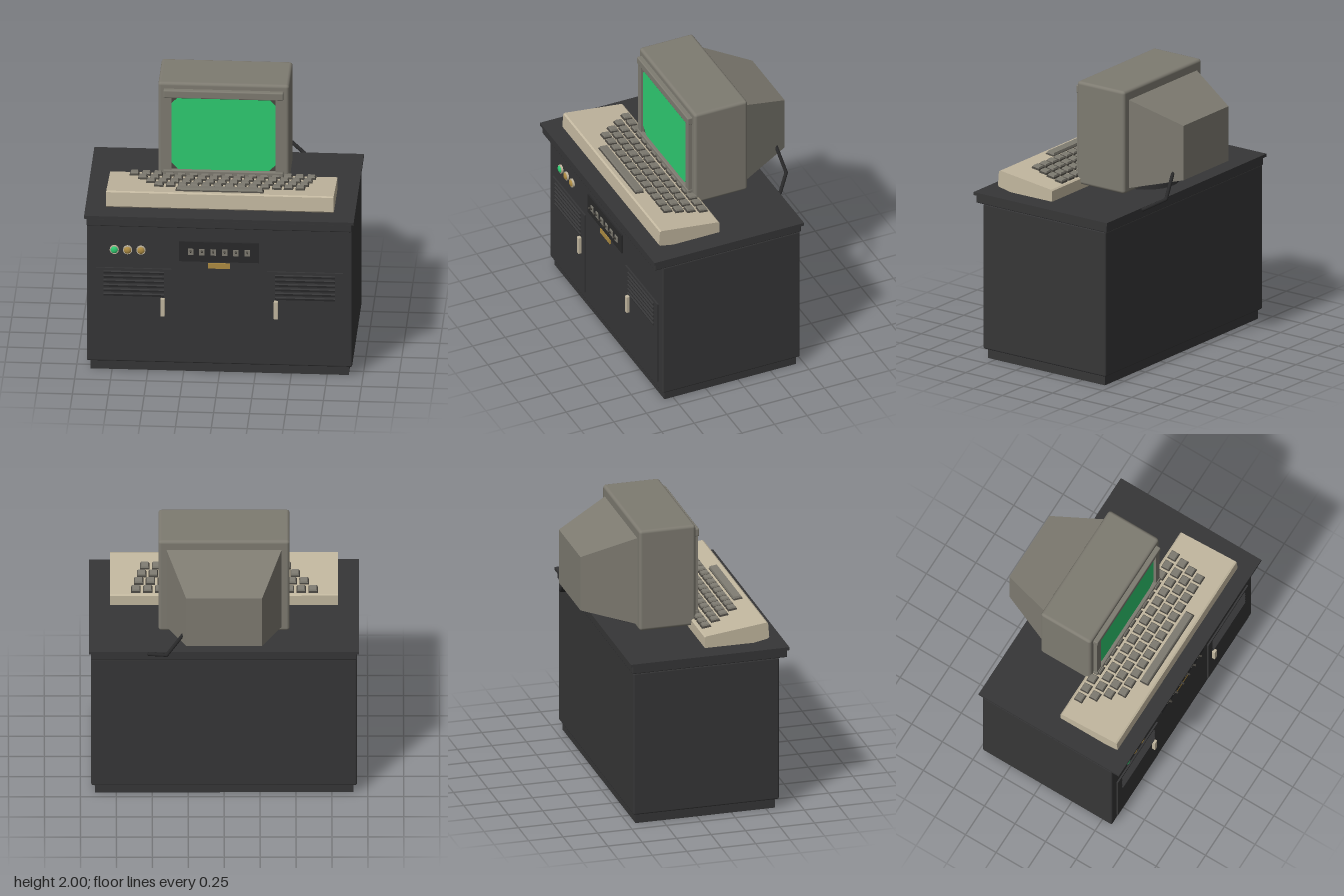
import * as THREE from 'three';
import { RoundedBoxGeometry } from 'three/addons/geometries/RoundedBoxGeometry.js';

const mat = (name, color) => Object.assign(new THREE.MeshStandardMaterial({ color }), { name });

export function createModel() {
  const model = new THREE.Group();
  model.name = 'computerDesk';
  const charcoal = mat('charcoal', 0x363637);
  const black = mat('black', 0x29292a);
  const grey = mat('warm grey', 0x7e7b71);
  const keyDark = mat('dark key grey', 0x4b4842);
  const cream = mat('cream', 0xc2b79f);
  const green = mat('screen green', 0x2ecc71);
  const brass = mat('brass', 0xae8c42);

  const add = (name, geo, m, x = 0, y = 0, z = 0, parent = model) => {
    const mesh = new THREE.Mesh(geo, m);
    mesh.name = name;
    mesh.position.set(x, y, z);
    parent.add(mesh);
    return mesh;
  };
  // box given by its limits, optionally with rounded edges
  const span = (name, m, [x0, x1], [y0, y1], [z0, z1], r = 0) => {
    const s = [x1 - x0, y1 - y0, z1 - z0];
    const geo = r ? new RoundedBoxGeometry(...s, 2, r) : new THREE.BoxGeometry(...s);
    return add(name, geo, m, (x0 + x1) / 2, (y0 + y1) / 2, (z0 + z1) / 2);
  };
  // key-shaped box, standing on y = 0, with its top narrowed
  const taperedKey = (w, h, d, inset) => {
    const geo = new THREE.BoxGeometry(w, h, d).translate(0, h / 2, 0);
    const p = geo.attributes.position;
    for (let i = 0; i < p.count; i++) {
      if (p.getY(i) < h / 2) continue;
      p.setX(i, p.getX(i) - Math.sign(p.getX(i)) * inset);
      p.setZ(i, p.getZ(i) - Math.sign(p.getZ(i)) * inset);
    }
    geo.computeVertexNormals();
    return geo;
  };

  // Cabinet
  span('plinth', charcoal, [-0.9, 0.9], [0, 0.08], [-0.445, 0.565]);
  span('cabinetBody', charcoal, [-0.925, 0.925], [0.07, 1.135], [-0.467, 0.59], 0.012);
  span('desktopEdge', charcoal, [-0.925, 0.925], [1.13, 1.19], [-0.475, 0.65], 0.008);
  span('desktop', charcoal, [-0.94, 0.94], [1.188, 1.21], [-0.49, 0.66]);

  // Doors with louvres and handles
  for (const side of [-1, 1]) {
    const cx = side * 0.597;
    span('door', charcoal, [cx - 0.264, cx + 0.264], [0.135, 0.79], [0.58, 0.602]);
    for (let i = 0; i < 6; i++) {
      const louvre = add('louvre', new THREE.BoxGeometry(0.42, 0.018, 0.014), charcoal, cx, 0.59 + i * 0.034, 0.603);
      louvre.rotation.x = 0.4;
    }
    const hx = side * 0.395;
    span('doorHandle', cream, [hx - 0.015, hx + 0.015], [0.437, 0.572], [0.6, 0.626], 0.004);
  }

  // Indicator lamps
  [green, brass, brass].forEach((m, i) => {
    const x = -0.733 + i * 0.093;
    const ring = add('lampRing', new THREE.CylinderGeometry(0.032, 0.032, 0.02, 16), cream, x, 0.93, 0.594);
    ring.rotation.x = Math.PI / 2;
    const lens = add('lampLens', new THREE.SphereGeometry(0.026, 16, 8), m, x, 0.93, 0.603);
    lens.scale.z = 0.5;
  });

  // Switch panel and brass plate
  span('switchPanel', black, [-0.282, 0.277], [0.855, 1.005], [0.585, 0.602]);
  for (let i = 0; i < 6; i++) {
    const x = -0.2 + i * 0.079;
    add('switchPlate', new THREE.BoxGeometry(0.038, 0.046, 0.01), grey, x, 0.93, 0.604);
    const lever = add('switchLever', new THREE.CylinderGeometry(0.008, 0.006, 0.035, 8), keyDark, x, 0.938, 0.617);
    lever.rotation.x = 0.9;
  }
  span('brassPlate', brass, [-0.08, 0.075], [0.803, 0.843], [0.585, 0.599]);

  // Keyboard case: side profile extruded across its width
  const profile = new THREE.Shape([[0.09, 1.212], [0.445, 1.211], [0.547, 1.231], [0.557, 1.242],
    [0.549, 1.345], [0.537, 1.352], [0.1, 1.298], [0.09, 1.289]].map(([z, y]) => new THREE.Vector2(-z, y)));
  const caseGeo = new THREE.ExtrudeGeometry(profile, { depth: 1.585, bevelEnabled: false });
  caseGeo.translate(0, 0, -0.7925).rotateY(Math.PI / 2);
  add('keyboardCase', caseGeo, cream);

  // Keys lie on the sloping deck
  const deck = new THREE.Group();
  deck.name = 'keys';
  deck.position.set(0, 1.296, 0.095);
  deck.rotation.x = -0.1225;
  model.add(deck);
  const base = taperedKey(0.068, 0.016, 0.068, 0.004);
  const cap = taperedKey(0.056, 0.012, 0.056, 0.004);
  const rows = [[0.145, -0.62, 16], [0.23, -0.557, 15], [0.31, -0.495, 14], [0.39, -0.435, 13]];
  for (const [z, x0, count] of rows) {
    for (let i = 0; i < count; i++) {
      add('keyBase', base, keyDark, x0 + i * 0.0822, -0.002, z - 0.095, deck);
      add('keyCap', cap, grey, x0 + i * 0.0822, 0.013, z - 0.095, deck);
    }
  }
  add('spaceBarBase', taperedKey(0.62, 0.012, 0.074, 0.008), keyDark, -0.005, -0.002, 0.382, deck);
  add('spaceBar', taperedKey(0.6, 0.016, 0.062, 0.005), grey, -0.005, 0.008, 0.38, deck);

  // Monitor stand and case
  add('monitorStand', new THREE.CylinderGeometry(0.225, 0.235, 0.028, 32), black, 0, 1.224, -0.14);
  add('standNeck', new THREE.CylinderGeometry(0.16, 0.16, 0.03, 24), black, 0, 1.24, -0.12);
  span('monitorCase', grey, [-0.457, 0.457], [1.247, 2], [-0.285, 0.125], 0.022);

  // Tapering tube housing behind the case
  const rear = new THREE.BoxGeometry(1, 1, 1);
  const p = rear.attributes.position;
  for (let i = 0; i < p.count; i++) {
    const back = p.getZ(i) < 0;
    const top = p.getY(i) > 0;
    p.setXYZ(i, Math.sign(p.getX(i)) * (back ? 0.265 : 0.402),
      back ? (top ? 1.775 : 1.375) : (top ? 1.93 : 1.28), back ? -0.657 : -0.28);
  }
  rear.computeVertexNormals();
  add('tubeHousing', rear, grey);

  // Screen with cut corners over a dark mask, framed by four bars
  span('screenMask', keyDark, [-0.37, 0.37], [1.33, 1.91], [0.12, 0.13]);
  const [w, y0, y1, c] = [0.363, 1.345, 1.897, 0.05];
  const outline = [[-w + c, y0], [w - c, y0], [w, y0 + c], [w, y1 - c], [w - c, y1], [-w + c, y1], [-w, y1 - c], [-w, y0 + c]];
  const screen = new THREE.Shape(outline.map(([x, y]) => new THREE.Vector2(x, y)));
  add('screen', new THREE.ExtrudeGeometry(screen, { depth: 0.006, bevelEnabled: false }), green, 0, 0, 0.13);
  span('bezelTop', grey, [-0.418, 0.418], [1.897, 1.955], [0.115, 0.16], 0.008);
  span('bezelBottom', grey, [-0.418, 0.418], [1.29, 1.347], [0.115, 0.16], 0.008);
  for (const s of [-1, 1]) {
    add('bezelSide', new THREE.BoxGeometry(0.052, 0.56, 0.037), grey, s * 0.389, 1.622, 0.1345);
  }

  // Cable in two straight runs
  const path = [[0.27, 1.44, -0.578], [0.4, 1.262, -0.605], [0.525, 1.2, -0.5]].map((a) => new THREE.Vector3(...a));
  for (let i = 0; i < 2; i++) {
    const run = new THREE.LineCurve3(path[i], path[i + 1]);
    add('cable', new THREE.TubeGeometry(run, 1, 0.013, 8), black);
  }
  add('cableBend', new THREE.SphereGeometry(0.013, 8, 6), black, path[1].x, path[1].y, path[1].z);
  add('cableEnd', new THREE.SphereGeometry(0.013, 8, 6), black, path[2].x, path[2].y, path[2].z);
  return model;
}
